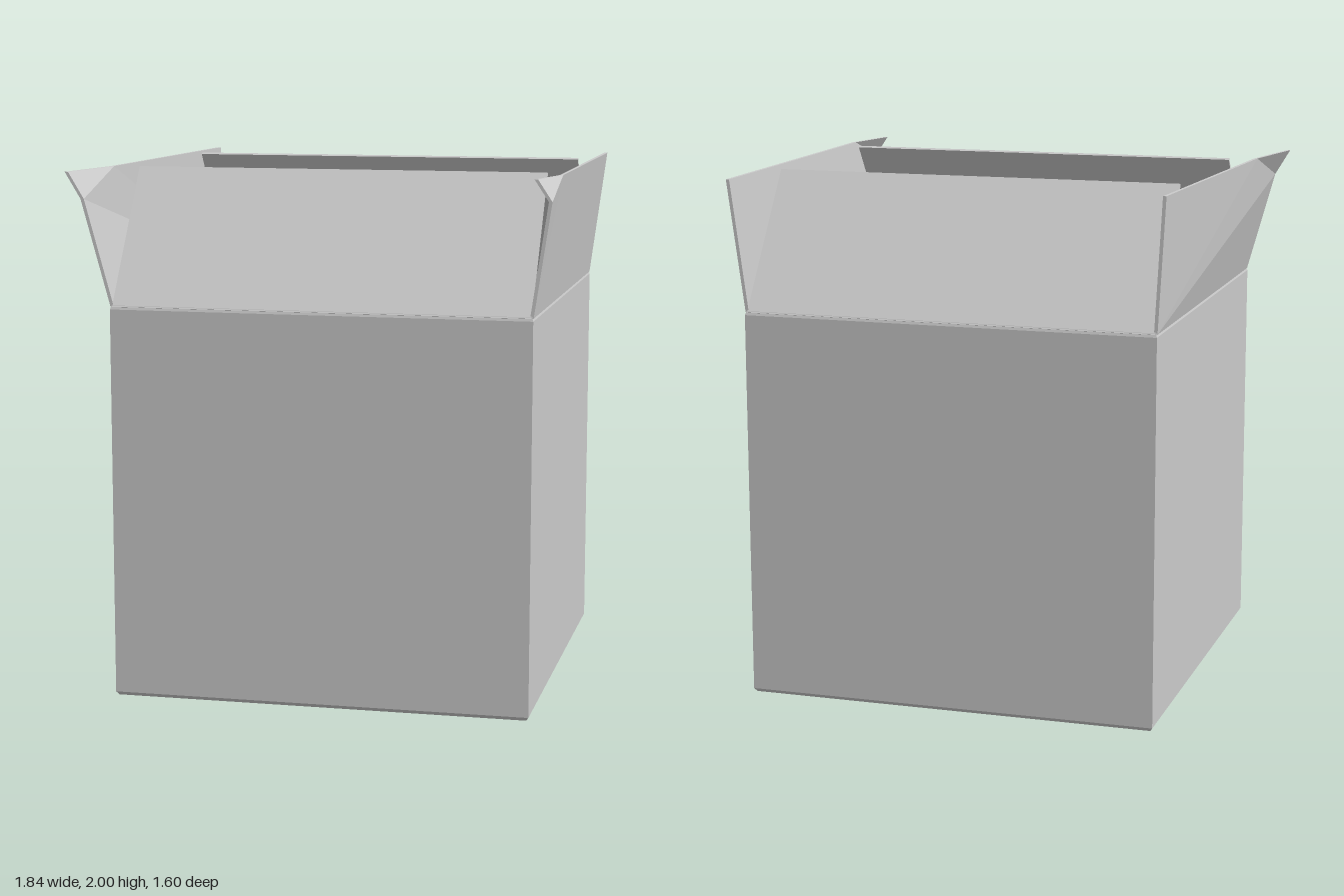
import * as THREE from 'three';

const CX = 0.05, HALF = 0.798, WALL = 0.012, RIM = 1.5, TOP = 2;
const material = new THREE.MeshStandardMaterial({ color: 0xcccccc });

// Thin solid sheet: outline runs counter-clockwise seen from outside, offset points inward
function sheet(name, outline, faces, offset) {
  const outer = outline.map((p) => new THREE.Vector3(...p));
  const inner = outer.map((p) => p.clone().add(offset));
  const pos = [];
  const tri = (...pts) => pts.forEach((p) => pos.push(p.x, p.y, p.z));
  for (const [a, b, c] of faces) {
    tri(outer[a], outer[b], outer[c]);
    tri(inner[c], inner[b], inner[a]);
  }
  outer.forEach((p, i) => {
    const j = (i + 1) % outer.length;
    tri(p, inner[i], inner[j]);
    tri(p, inner[j], outer[j]);
  });
  const geo = new THREE.BufferGeometry();
  geo.setAttribute('position', new THREE.Float32BufferAttribute(pos, 3));
  geo.computeVertexNormals();
  const mesh = new THREE.Mesh(geo, material);
  mesh.name = name;
  return mesh;
}

export function createModel() {
  const box = new THREE.Group();
  box.name = 'openCardboardBox';

  // Hollow body: wall profile swept round four corners
  const profile = [
    [0, 0], [HALF - 0.01, 0], [HALF, 0.014], [HALF, RIM - 0.01], [HALF - 0.005, RIM + 0.005],
    [HALF - WALL, RIM], [HALF - WALL, WALL], [0, WALL],
  ].map(([r, y]) => new THREE.Vector2(r * Math.SQRT2, y));
  const bodyGeo = new THREE.LatheGeometry(profile, 4, Math.PI / 4).toNonIndexed();
  bodyGeo.computeVertexNormals();
  const body = new THREE.Mesh(bodyGeo, material);
  body.name = 'body';
  body.position.x = CX;
  box.add(body);

  // Front and back flaps lean inward
  const w = 0.79, zRim = 0.796, zTop = 0.43;
  for (const s of [1, -1]) {
    const outline = [[-w, RIM, zRim], [w, RIM, zRim], [w, TOP, zTop], [-w, TOP, zTop]]
      .map(([x, y, z]) => [CX + s * x, y, s * z]);
    box.add(sheet(s > 0 ? 'frontFlap' : 'backFlap', outline, [[0, 1, 2], [0, 2, 3]],
      new THREE.Vector3(0, -0.006, -0.008 * s)));
  }

  // Left flap opens outward, its front corner folded in
  box.add(sheet('leftFlap', [
    [0.848, RIM, 0.79], [0.848, RIM, -0.79], [0.915, TOP, -0.79],
    [0.915, TOP, 0.55], [0.857, TOP, 0.785], [0.91, 1.92, 0.785],
  ], [[0, 1, 2], [0, 2, 3], [0, 3, 5], [3, 4, 5]], new THREE.Vector3(-0.013, 0, 0)));

  // Right flap twists outward towards the front, its corner bent out
  box.add(sheet('rightFlap', [
    [-0.748, RIM, -0.79], [-0.748, RIM, 0.79], [-0.86, 1.9, 0.785],
    [-0.92, TOP, 0.785], [-0.85, TOP, 0.45], [-0.775, TOP, -0.79],
  ], [[0, 1, 2], [0, 2, 4], [0, 4, 5], [2, 3, 4]], new THREE.Vector3(0.013, 0, 0)));

  return box;
}
